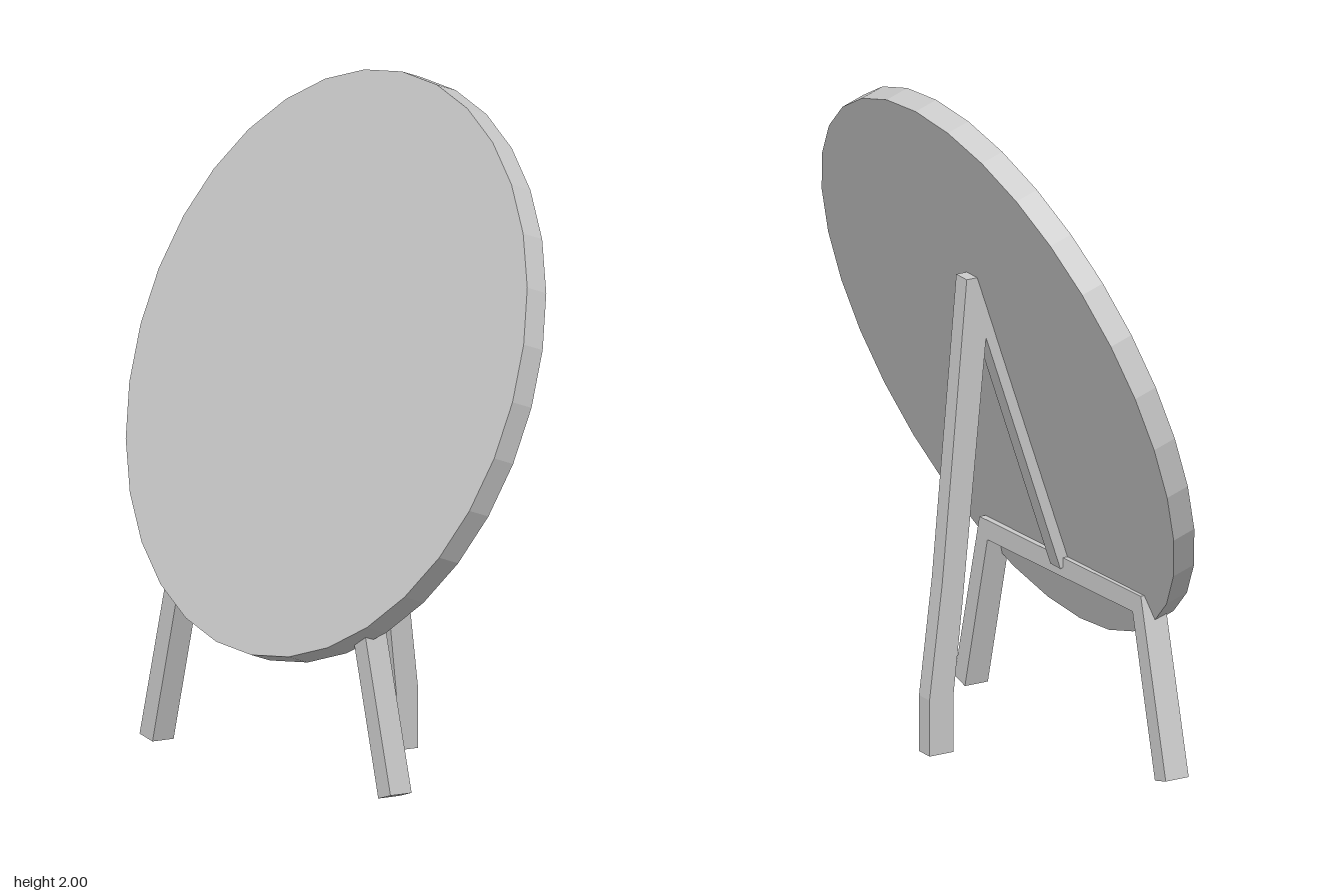
import * as THREE from 'three';

const TILT = 0.324; // backward lean of the disc
const material = new THREE.MeshStandardMaterial({ color: 0xcccccc, flatShading: true });

// Flat outline given as [x, y] pairs, extruded to a depth
function plank(name, points, depth) {
  const shape = new THREE.Shape(points.map(([x, y]) => new THREE.Vector2(x, y)));
  const mesh = new THREE.Mesh(new THREE.ExtrudeGeometry(shape, { depth, bevelEnabled: false }), material);
  mesh.name = name;
  return mesh;
}

// Side outline given as [z, y] pairs, extruded across x from xMax
function sidePlank(name, points, width, xMax) {
  const mesh = plank(name, points, width);
  mesh.rotation.y = -Math.PI / 2;
  mesh.position.x = xMax;
  return mesh;
}

export function createModel() {
  const model = new THREE.Group();
  model.name = 'discOnEasel';

  // Tilted round board
  const disc = new THREE.Mesh(new THREE.CylinderGeometry(0.865, 0.865, 0.073, 32), material);
  disc.name = 'disc';
  disc.rotation.x = Math.PI / 2 - TILT;
  disc.position.set(0, 1.17, 0);
  model.add(disc);

  // Two splayed front legs joined by a crossbar
  const frontFrame = plank('frontLegsAndCrossbar', [
    [-0.62, 0.043], [-0.56, 0.028], [-0.436, 0.505], [0.366, 0.482],
    [0.49, 0.0], [0.547, 0.016], [0.41, 0.54], [-0.482, 0.565],
  ], 0.077);
  frontFrame.position.z = 0.153;
  model.add(frontFrame);

  // Spine lying along the back of the disc
  model.add(sidePlank('spine', [
    [0.145, 0.52], [0.19, 0.535], [-0.065, 1.3], [-0.115, 1.3],
  ], 0.056, 0.005));

  // Rear leg with a slight bend near the foot
  model.add(sidePlank('rearLeg', [
    [-0.215, 0.03], [-0.215, 0.2], [-0.182, 0.5], [-0.105, 1.27], [-0.065, 1.27],
    [-0.125, 1.457], [-0.17, 1.457], [-0.252, 0.55], [-0.295, 0.2], [-0.295, 0.03],
  ], 0.058, 0.006));

  return model;
}
